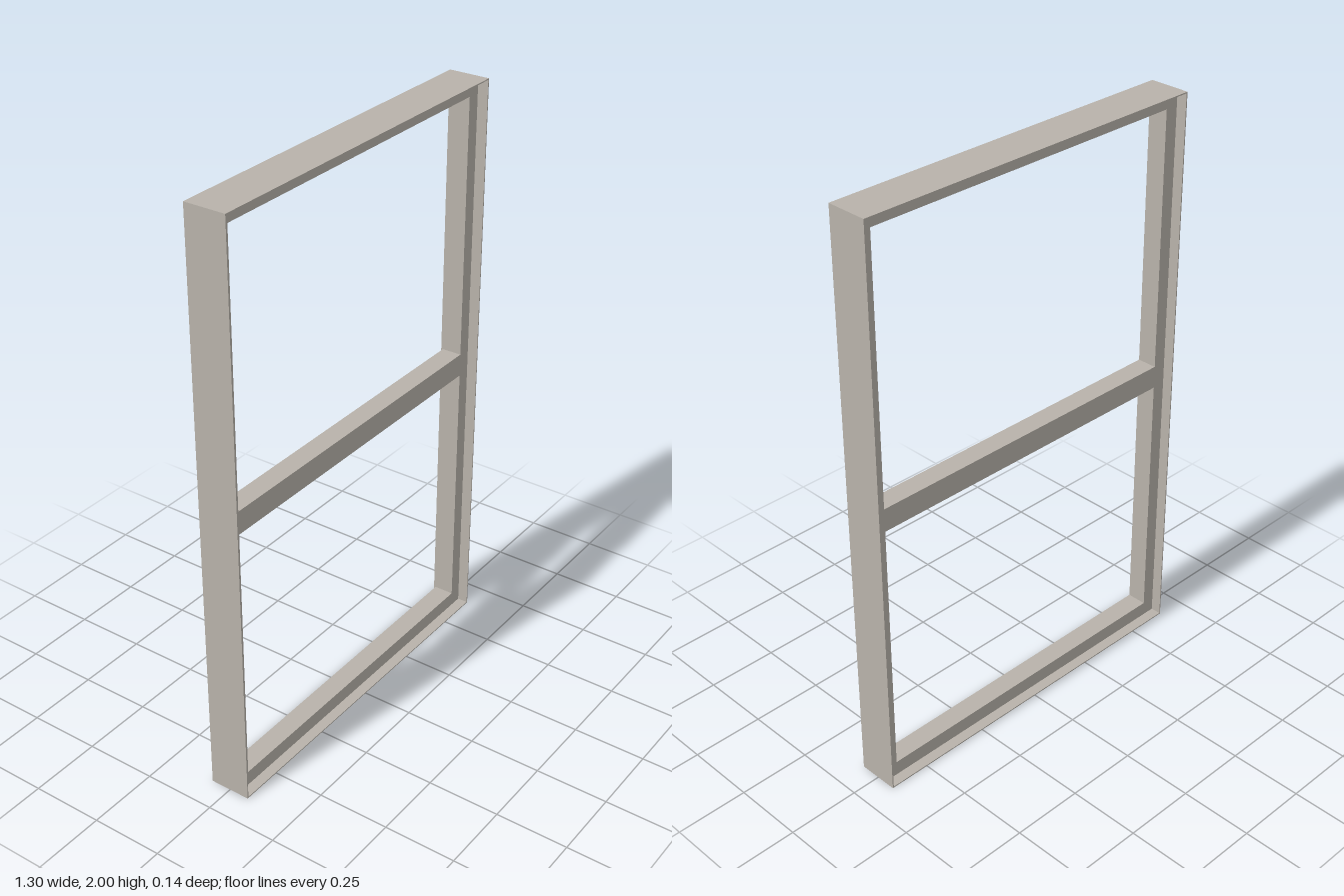
import * as THREE from 'three';

const W = 1.296, H = 2, D = 0.143; // overall size
const LIP = 0.004;                 // thickness of the outer casing
const SASH = 0.07;                 // depth of the recessed sash

// Rectangular outline given by its edges
function rect(Type, x0, x1, y0, y1) {
  const r = new Type();
  r.moveTo(x0, y0);
  r.lineTo(x1, y0);
  r.lineTo(x1, y1);
  r.lineTo(x0, y1);
  r.closePath();
  return r;
}

// Flat frame with rectangular openings, centred on z = 0
function frame(name, outer, openings, depth, material) {
  const shape = rect(THREE.Shape, ...outer);
  for (const o of openings) shape.holes.push(rect(THREE.Path, ...o));
  const geometry = new THREE.ExtrudeGeometry(shape, { depth, bevelEnabled: false });
  geometry.translate(0, 0, -depth / 2);
  const mesh = new THREE.Mesh(geometry, material);
  mesh.name = name;
  return mesh;
}

export function createModel() {
  const model = new THREE.Group();
  model.name = 'windowFrame';
  const paint = new THREE.MeshStandardMaterial({ color: 0xb8b2aa });
  paint.name = 'warm grey paint';

  const x = W / 2, xi = x - LIP, opening = 0.597;

  // Thin casing around the full depth
  model.add(frame('outerCasing', [-x, x, 0, H], [[-xi, xi, LIP, H - LIP]], D, paint));

  // Recessed sash with two openings and the meeting rail between them
  model.add(frame('sashWithMeetingRail', [-xi, xi, LIP, H - LIP], [
    [-opening, opening, 0.055, 0.961],
    [-opening, opening, 1.041, 1.947],
  ], SASH, paint));

  return model;
}
